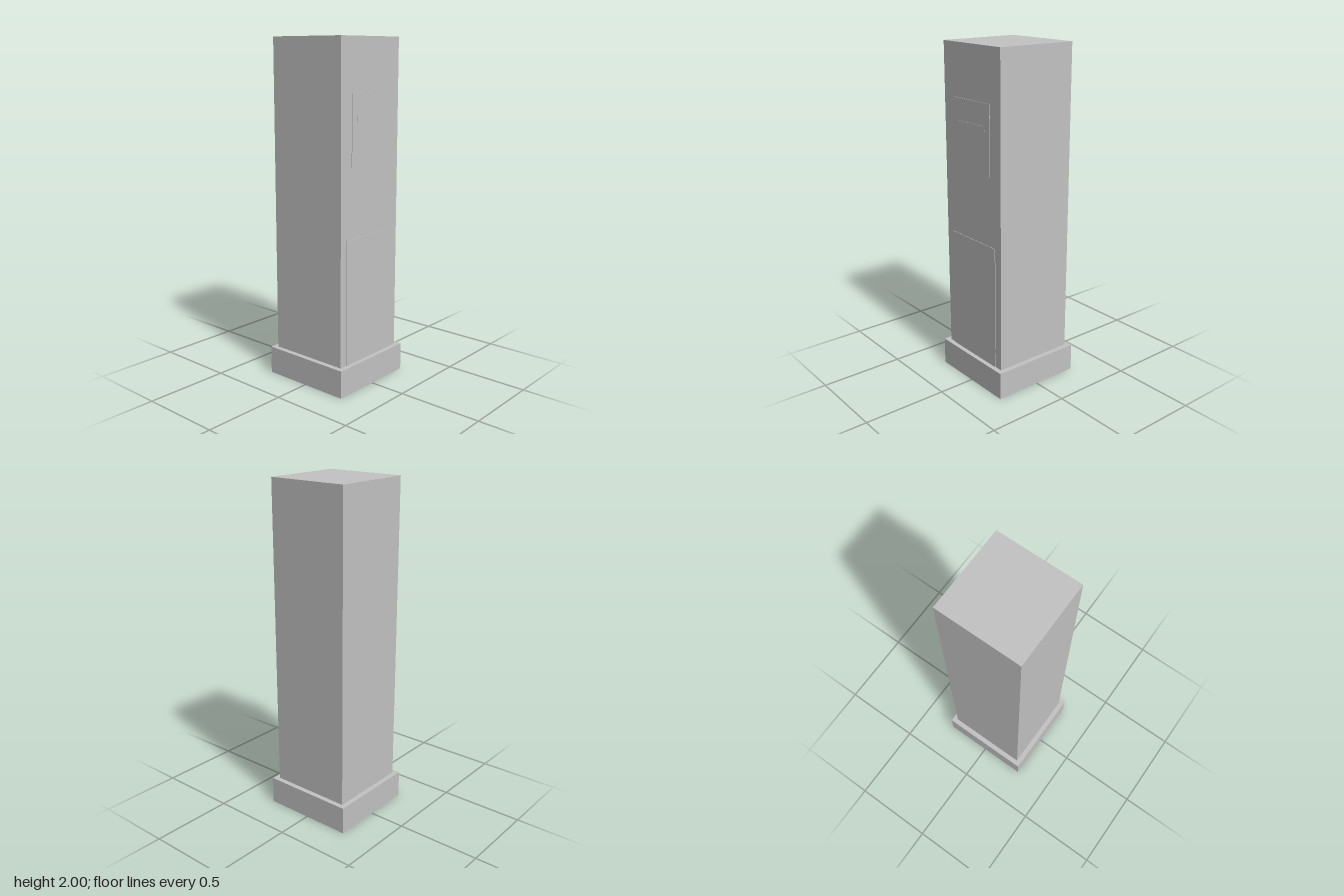
import * as THREE from 'three';

export function createModel() {
  const model = new THREE.Group();
  const grey = new THREE.MeshStandardMaterial({ color: 0xc2c2c2 });
  grey.name = 'light grey';

  // Box from its width, bottom and top heights, and back and front depths
  function block(name, width, y0, y1, z0, z1) {
    const mesh = new THREE.Mesh(new THREE.BoxGeometry(width, y1 - y0, z1 - z0), grey);
    mesh.position.set(0, (y0 + y1) / 2, (z0 + z1) / 2);
    mesh.name = name;
    model.add(mesh);
  }

  // Plinth and square pillar
  block('plinth', 0.56, 0, 0.164, -0.28, 0.28);
  block('pillar', 0.5, 0.164, 2, -0.25, 0.25);

  // Thin raised plates on the front
  block('lowerDoor', 0.4, 0.164, 0.9, 0.25, 0.2535);
  block('upperPanel', 0.32, 1.3, 1.7, 0.25, 0.2535);
  block('slotPlate', 0.24, 1.545, 1.575, 0.2535, 0.256);

  return model;
}
